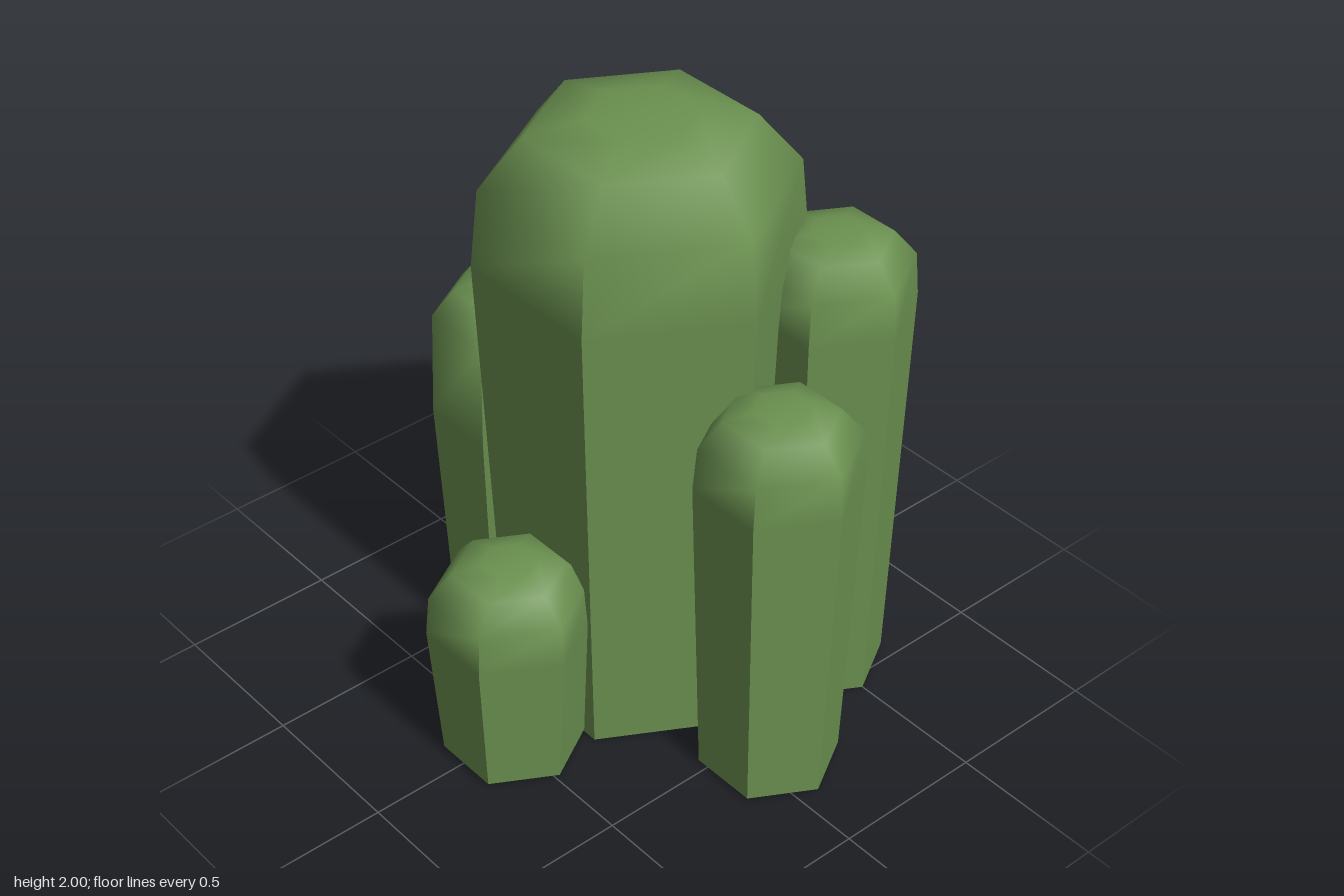
import * as THREE from 'three';

const SIDES = 6;

// Open-bottomed hexagonal column: rings of [radius, height].
// The shaft is faceted; from the third ring up the dome is smooth.
function columnGeometry(rings) {
  const pos = [], nor = [], idx = [];
  const tilt = (a, b) => Math.atan2((a[0] - b[0]) * 0.866, b[1] - a[1]);
  for (let s = 0; s < SIDES; s++) {
    const a0 = (s / SIDES) * Math.PI * 2, a1 = ((s + 1) / SIDES) * Math.PI * 2;
    const base = pos.length / 3;
    rings.forEach((ring, i) => {
      const [r, y] = ring;
      const up = i < 2 ? tilt(rings[0], rings[1])
        : (tilt(rings[i - 1], ring) + (i + 1 < rings.length ? tilt(ring, rings[i + 1]) : Math.PI / 2)) / 2;
      for (const a of [a0, a1]) {
        const n = i < 2 ? (a0 + a1) / 2 : a;
        pos.push(r * Math.cos(a), y, r * Math.sin(a));
        nor.push(Math.cos(up) * Math.cos(n), Math.sin(up), Math.cos(up) * Math.sin(n));
      }
      if (i > 0) {
        const k = base + i * 2;
        idx.push(k - 2, k, k - 1, k - 1, k, k + 1);
      }
    });
    // wedge of the flat crown
    const last = base + rings.length * 2 - 2;
    pos.push(0, rings[rings.length - 1][1], 0);
    nor.push(0, 1, 0);
    idx.push(last, last + 2, last + 1);
  }
  const g = new THREE.BufferGeometry();
  g.setAttribute('position', new THREE.Float32BufferAttribute(pos, 3));
  g.setAttribute('normal', new THREE.Float32BufferAttribute(nor, 3));
  g.setIndex(idx);
  return g;
}

export function createModel() {
  const group = new THREE.Group();
  group.name = 'cactusCluster';
  const green = new THREE.MeshStandardMaterial({ color: 0x6b9150, side: THREE.DoubleSide });
  green.name = 'cactusGreen';

  const add = (name, x, z, rings) => {
    const mesh = new THREE.Mesh(columnGeometry(rings), green);
    mesh.name = name;
    mesh.position.set(x, 0, z);
    group.add(mesh);
  };

  // tall central column
  add('mainColumn', -0.033, -0.068,
    [[0.427, 0], [0.495, 1.55], [0.47, 1.8], [0.337, 1.96], [0.165, 2]]);

  // side shoots share radii; only their heights differ
  const shoot = (name, x, z, h) => add(name, x, z,
    [0.22, 0.255, 0.243, 0.172, 0.085].map((r, i) => [r, h[i]]));
  shoot('rightShoot', -0.582, -0.007, [0.01, 0.73, 1.09, 1.175, 1.2]);
  shoot('leftShoot', 0.576, -0.067, [0.01, 1.07, 1.21, 1.295, 1.32]);
  shoot('backShoot', 0.335, -0.492, [0.01, 1.37, 1.51, 1.595, 1.615]);
  shoot('frontShoot', 0.019, 0.489, [0.01, 0.48, 0.61, 0.69, 0.715]);

  return group;
}
